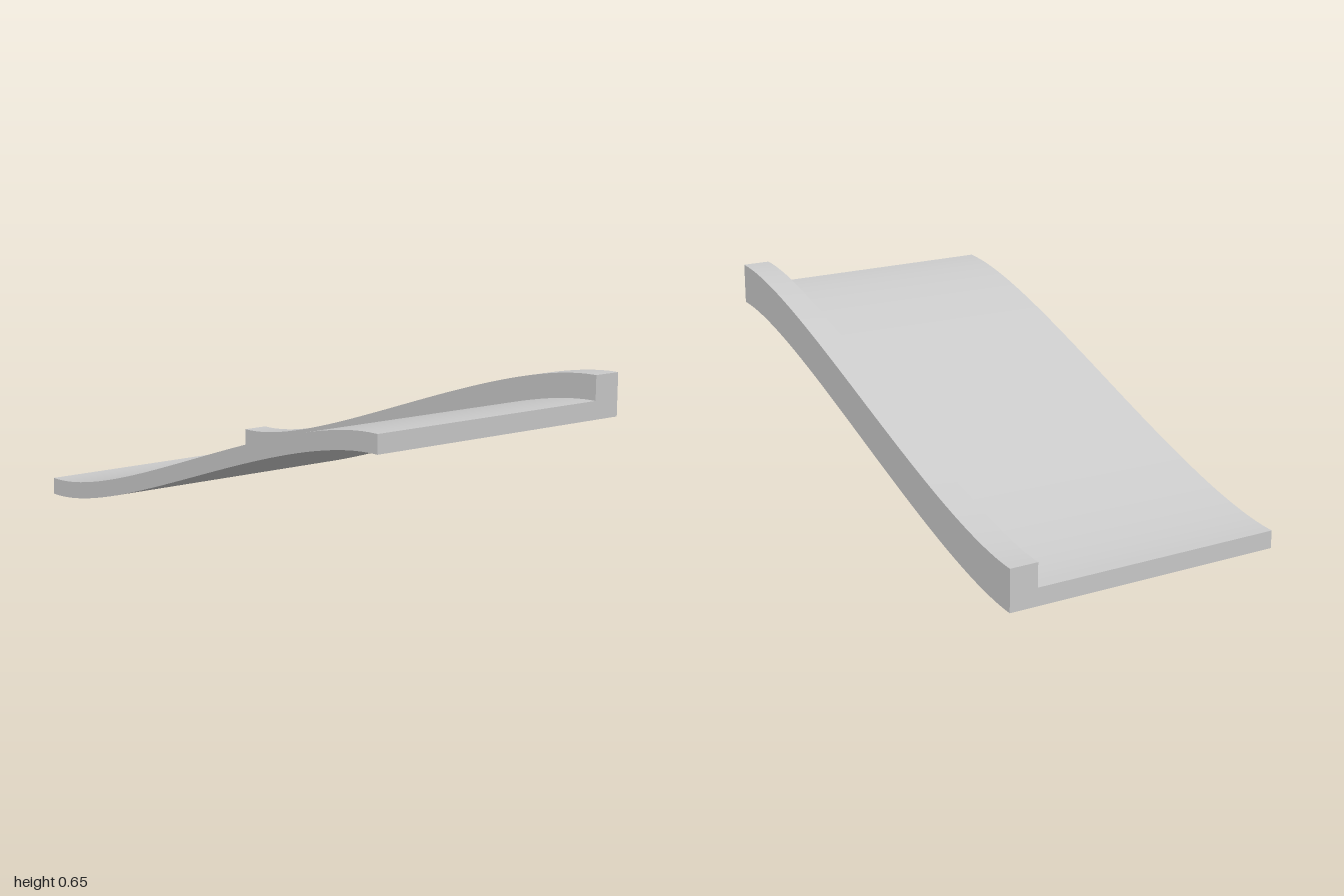
import * as THREE from 'three';
import { toCreasedNormals } from 'three/addons/utils/BufferGeometryUtils.js';

const STEPS = 40;

// S-shaped slope: level at both ends, low at the back, high at the front
const slope = new THREE.CubicBezierCurve(
  new THREE.Vector2(-1, 0), new THREE.Vector2(-0.5, 0),
  new THREE.Vector2(0.5, 0.5), new THREE.Vector2(1, 0.5)
);

// Sweeps an upright section along the slope, keeping its ends vertical
function sweepAlongSlope(points) {
  const shape = new THREE.Shape(points.map(([x, y]) => new THREE.Vector2(x, y)));
  const geometry = new THREE.ExtrudeGeometry(shape, { depth: 1, steps: STEPS, bevelEnabled: false });
  const pos = geometry.attributes.position;
  for (let i = 0; i < pos.count; i++) {
    const p = slope.getPoint(pos.getZ(i));
    pos.setY(i, pos.getY(i) + p.y);
    pos.setZ(i, p.x);
  }
  return toCreasedNormals(geometry, Math.PI / 6);
}

export function createModel() {
  const group = new THREE.Group();
  group.name = 'curvedRamp';

  // Thin deck with a raised curb along its left edge, one continuous section
  const section = [
    [-0.5, 0], [0.5, 0], [0.5, 0.147], [0.4, 0.147], [0.4, 0.0625], [-0.5, 0.0625],
  ];
  const ramp = new THREE.Mesh(
    sweepAlongSlope(section),
    new THREE.MeshStandardMaterial({ color: 0xcccccc })
  );
  ramp.name = 'rampDeckWithCurb';
  group.add(ramp);
  return group;
}
